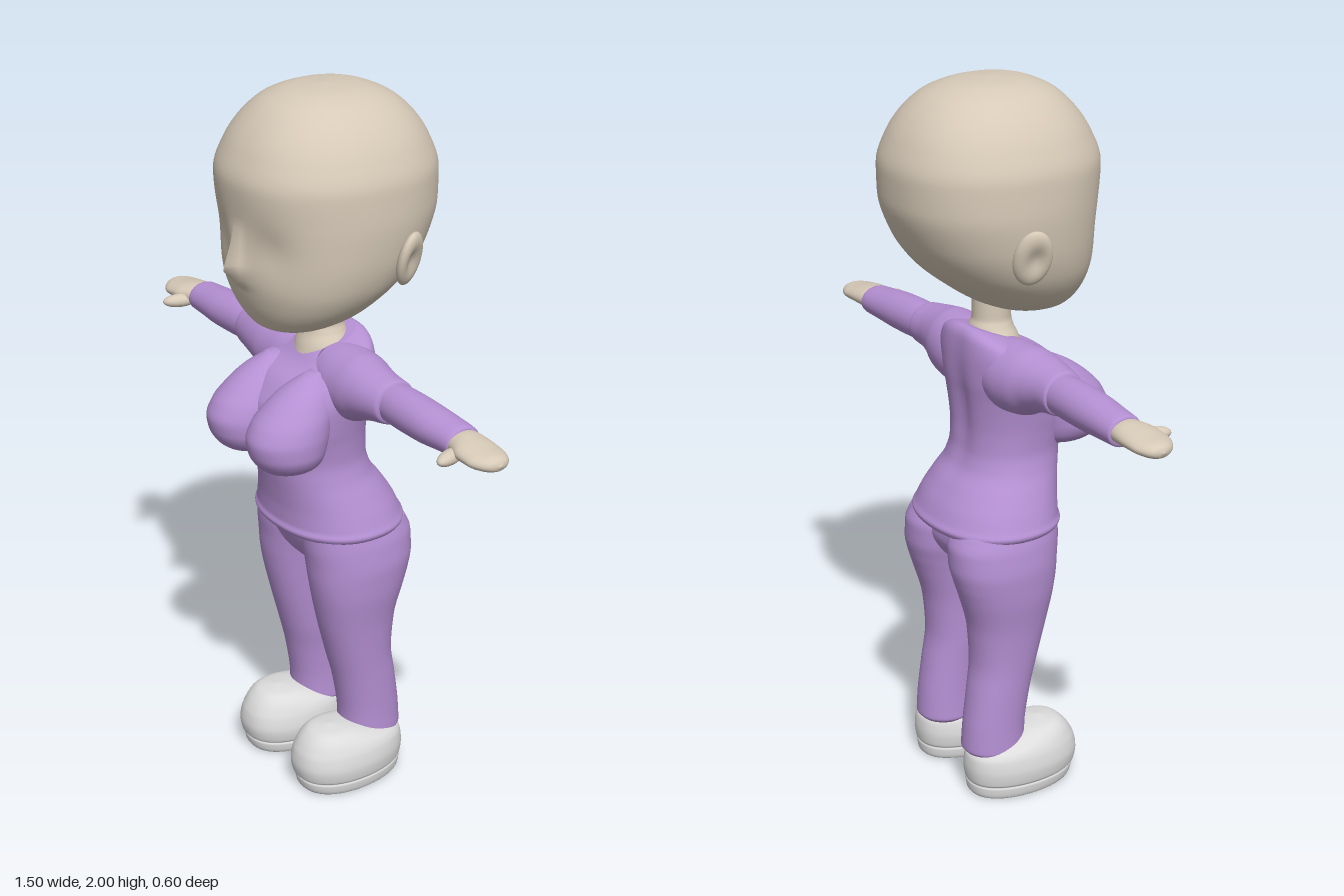
import * as THREE from 'three';

const material = (name, color) => {
  const m = new THREE.MeshStandardMaterial({ color });
  m.name = name;
  return m;
};

// Monotone cubic blend between the values b and c, so profiles never overshoot
function blend(a, b, c, d, t) {
  const slope = (p, q) => (p * q <= 0 ? 0 : (2 * p * q) / (p + q));
  const k = c - b;
  const m0 = a === undefined ? k : slope(b - a, k);
  const m1 = d === undefined ? k : slope(k, d - c);
  const t2 = t * t, t3 = t2 * t;
  return b * (2 * t3 - 3 * t2 + 1) + m0 * (t3 - 2 * t2 + t) + c * (3 * t2 - 2 * t3) + m1 * (t3 - t2);
}

// Smooth closed body through cross-sections [y, centreX, radiusX, zFront, zBack]
function loft(sections, { sides = 48, steps = 6, power = 2, deform } = {}) {
  const pos = [], index = [], v = new THREE.Vector3();
  const rows = (sections.length - 1) * steps + 1;
  const bend = (n) => Math.sign(n) * Math.abs(n) ** (2 / power);
  const push = () => { if (deform) deform(v); pos.push(v.x, v.y, v.z); };
  const at = (r) => {
    const i = Math.min(Math.floor(r / steps), sections.length - 2), t = r / steps - i;
    return sections[i].map((b, k) => blend(sections[i - 1]?.[k], b, sections[i + 1][k], sections[i + 2]?.[k], t));
  };
  for (let r = 0; r < rows; r++) {
    const [y, cx, rx, zf, zb] = at(r);
    for (let j = 0; j < sides; j++) {
      const a = (j / sides) * Math.PI * 2;
      v.set(cx + rx * bend(Math.cos(a)), y, (zf + zb) / 2 + ((zf - zb) / 2) * bend(Math.sin(a)));
      push();
    }
  }
  for (const s of [sections[0], sections.at(-1)]) {
    v.set(s[1], s[0], (s[3] + s[4]) / 2);
    push();
  }
  const bottom = rows * sides, top = bottom + 1, last = (rows - 1) * sides;
  for (let j = 0; j < sides; j++) {
    const n = (j + 1) % sides;
    for (let r = 0; r < rows - 1; r++) {
      const a = r * sides + j, b = r * sides + n;
      index.push(a, a + sides, b, b, a + sides, b + sides);
    }
    index.push(bottom, j, n, top, last + n, last + j);
  }
  const g = new THREE.BufferGeometry();
  g.setAttribute('position', new THREE.Float32BufferAttribute(pos, 3));
  g.setIndex(index);
  g.computeVertexNormals();
  return g;
}

// The same body running along +x: sections [x, centreY, radiusY, zFront, zBack]
const loftX = (sections, options) =>
  loft(sections.map(([x, cy, ...rest]) => [x, -cy, ...rest]), options).rotateZ(-Math.PI / 2);

// Mirror image across x with the face order reversed
function mirrored(geometry) {
  const g = geometry.clone().scale(-1, 1, 1), ix = g.index.array;
  for (let i = 0; i < ix.length; i += 3) [ix[i], ix[i + 1]] = [ix[i + 1], ix[i]];
  g.computeVertexNormals();
  return g;
}

const bump = (d, width) => Math.exp(-((d / width) ** 2));

export function createModel() {
  const group = new THREE.Group();
  group.name = 'figure';
  const skin = material('skin', 0xd6c9b7);
  const cloth = material('purple cloth', 0xb590d3);
  const shoe = material('light grey shoe', 0xdcdcdc);

  const add = (name, geometry, mat) => {
    const mesh = new THREE.Mesh(geometry, mat);
    mesh.name = name;
    group.add(mesh);
  };
  const addPair = (name, geometry, mat) => {
    add('left' + name, geometry, mat);
    add('right' + name, mirrored(geometry), mat);
  };

  // Head with a pointed little nose and shallow eye hollows
  add('head', loft([
    [1.375, 0, 0.03, 0.16, 0.08], [1.383, 0, 0.1, 0.19, 0.01], [1.41, 0, 0.155, 0.212, -0.06],
    [1.46, 0, 0.207, 0.235, -0.135], [1.52, 0, 0.242, 0.25, -0.205], [1.6, 0, 0.263, 0.257, -0.262],
    [1.7, 0, 0.272, 0.266, -0.297], [1.78, 0, 0.27, 0.272, -0.3], [1.86, 0, 0.243, 0.245, -0.275],
    [1.93, 0, 0.195, 0.195, -0.225], [1.97, 0, 0.145, 0.145, -0.17], [1.993, 0, 0.08, 0.08, -0.1],
    [2, 0, 0.005, 0, -0.01],
  ], {
    sides: 96, power: 2.2, deform: (v) => {
      if (v.z < 0.1) return;
      const dy = v.y - 1.56;
      const nose = 0.052 * Math.exp(-Math.abs(v.x) / 0.022) * Math.max(0, 1 - Math.abs(dy) / (dy > 0 ? 0.12 : 0.06));
      v.z += nose - 0.012 * bump(Math.abs(v.x) - 0.11, 0.06) * bump(v.y - 1.63, 0.06);
    },
  }), skin);

  // Ears: flattened ovals, hollowed on the outside and swung out at the back
  const ear = new THREE.SphereGeometry(1, 32, 24);
  const p = ear.attributes.position;
  for (let i = 0; i < p.count; i++) {
    const hollow = p.getX(i) > 0 ? 0.8 * bump(Math.hypot(p.getY(i), p.getZ(i) - 0.15), 0.5) : 0;
    p.setX(i, p.getX(i) - hollow);
  }
  ear.scale(0.024, 0.078, 0.05).rotateX(0.15).rotateZ(-0.25).rotateY(0.45).translate(0.285, 1.6, -0.07);
  ear.computeVertexNormals();
  addPair('Ear', ear, skin);

  add('neck', loft([
    [1.25, 0, 0.085, 0.08, -0.09], [1.3, 0, 0.08, 0.066, -0.08], [1.335, 0, 0.06, 0.052, -0.066],
    [1.36, 0, 0.052, 0.048, -0.058], [1.43, 0, 0.052, 0.05, -0.058],
  ]), skin);

  // Shirt body with a hem, a spine groove and a neckline that dips at the front
  add('shirt', loft([
    [0.778, 0, 0.19, 0.12, -0.175], [0.782, 0, 0.215, 0.148, -0.198], [0.798, 0, 0.226, 0.158, -0.207],
    [0.815, 0, 0.219, 0.153, -0.198], [0.85, 0, 0.206, 0.154, -0.182], [0.9, 0, 0.185, 0.16, -0.15],
    [0.95, 0, 0.165, 0.168, -0.115], [1, 0, 0.156, 0.175, -0.102], [1.05, 0, 0.16, 0.19, -0.1],
    [1.1, 0, 0.168, 0.205, -0.103], [1.15, 0, 0.176, 0.2, -0.108], [1.2, 0, 0.182, 0.17, -0.114],
    [1.25, 0, 0.178, 0.125, -0.116], [1.285, 0, 0.155, 0.088, -0.112], [1.305, 0, 0.115, 0.07, -0.1],
    [1.315, 0, 0.082, 0.06, -0.084],
  ], {
    sides: 64, power: 2.2, deform: (v) => {
      if (v.z < 0) v.z += 0.014 * bump(v.x, 0.035) * bump(v.y - 1.12, 0.15);
      v.y -= v.z * 0.35 * THREE.MathUtils.smoothstep(v.y, 1.22, 1.315);
    },
  }), cloth);

  // Bust: rounded forms blending up into the chest
  addPair('Bust', loft([
    [0.995, 0.092, 0.01, 0.18, 0.14], [1.005, 0.092, 0.052, 0.228, 0.1], [1.03, 0.094, 0.084, 0.264, 0.08],
    [1.065, 0.095, 0.099, 0.284, 0.07], [1.1, 0.095, 0.101, 0.29, 0.06], [1.14, 0.094, 0.096, 0.274, 0.05],
    [1.18, 0.093, 0.082, 0.237, 0.04], [1.22, 0.092, 0.06, 0.185, 0.04], [1.26, 0.09, 0.02, 0.11, 0.05],
  ], { sides: 40 }), cloth);

  // Sleeves: a broad upper part stepping down to a slim forearm
  addPair('UpperSleeve', loftX([
    [0.06, 1.225, 0.09, 0.08, -0.095], [0.12, 1.222, 0.097, 0.088, -0.1], [0.18, 1.225, 0.094, 0.088, -0.092],
    [0.23, 1.232, 0.079, 0.083, -0.076], [0.28, 1.235, 0.067, 0.074, -0.065], [0.325, 1.235, 0.059, 0.062, -0.062],
    [0.33, 1.235, 0.052, 0.052, -0.055],
  ]), cloth);
  addPair('LowerSleeve', loftX([
    [0.3, 1.235, 0.052, 0.05, -0.054], [0.38, 1.234, 0.055, 0.055, -0.058], [0.46, 1.232, 0.053, 0.056, -0.06],
    [0.54, 1.23, 0.046, 0.05, -0.06], [0.595, 1.228, 0.041, 0.044, -0.058], [0.6, 1.228, 0.034, 0.036, -0.05],
  ]), cloth);

  // Mitten hands with a short forward thumb
  addPair('Hand', loftX([
    [0.57, 1.228, 0.03, 0.035, -0.045], [0.61, 1.23, 0.031, 0.045, -0.054], [0.65, 1.229, 0.028, 0.058, -0.057],
    [0.69, 1.226, 0.024, 0.058, -0.056], [0.725, 1.224, 0.021, 0.043, -0.045], [0.743, 1.223, 0.014, 0.022, -0.028],
    [0.75, 1.223, 0.002, 0, -0.006],
  ]), skin);
  const thumb = new THREE.SphereGeometry(1, 24, 16);
  thumb.scale(0.022, 0.019, 0.05).rotateY(0.3).translate(0.625, 1.217, 0.056);
  addPair('Thumb', thumb, skin);

  // Trousers: a hip block and two legs that lean back toward the ankle
  add('hips', loft([
    [0.645, 0, 0.02, 0.01, -0.06], [0.66, 0, 0.09, 0.05, -0.11], [0.7, 0, 0.17, 0.09, -0.155],
    [0.75, 0, 0.2, 0.115, -0.175], [0.8, 0, 0.205, 0.13, -0.175],
  ], { power: 2.3 }), cloth);
  addPair('Leg', loft([
    [0.125, 0.118, 0.07, 0, -0.16], [0.14, 0.118, 0.078, 0.01, -0.17], [0.2, 0.118, 0.077, 0.012, -0.166],
    [0.3, 0.117, 0.08, 0.027, -0.152], [0.4, 0.114, 0.087, 0.052, -0.138], [0.5, 0.115, 0.095, 0.078, -0.145],
    [0.6, 0.118, 0.107, 0.1, -0.172], [0.65, 0.117, 0.112, 0.108, -0.188], [0.7, 0.113, 0.117, 0.113, -0.199],
    [0.75, 0.108, 0.116, 0.12, -0.2], [0.8, 0.104, 0.108, 0.123, -0.18],
  ], { power: 2.15 }), cloth);

  // Shoes: round toes, lower heels and a grooved sole
  addPair('Shoe', loft([
    [0, 0.13, 0.03, 0.06, -0.07], [0, 0.13, 0.092, 0.145, -0.15], [0.012, 0.13, 0.101, 0.158, -0.16],
    [0.032, 0.13, 0.104, 0.162, -0.162], [0.038, 0.13, 0.102, 0.16, -0.16], [0.045, 0.13, 0.107, 0.168, -0.164],
    [0.08, 0.13, 0.112, 0.175, -0.168], [0.115, 0.13, 0.107, 0.169, -0.164], [0.135, 0.13, 0.1, 0.16, -0.148],
    [0.16, 0.13, 0.082, 0.142, -0.07], [0.178, 0.13, 0.055, 0.118, 0], [0.186, 0.13, 0.005, 0.07, 0.06],
  ], {
    power: 2.3, deform: (v) => {
      v.x = 0.13 + (v.x - 0.13) * (1 + 0.5 * Math.min(0, v.z));
    },
  }), shoe);

  return group;
}
